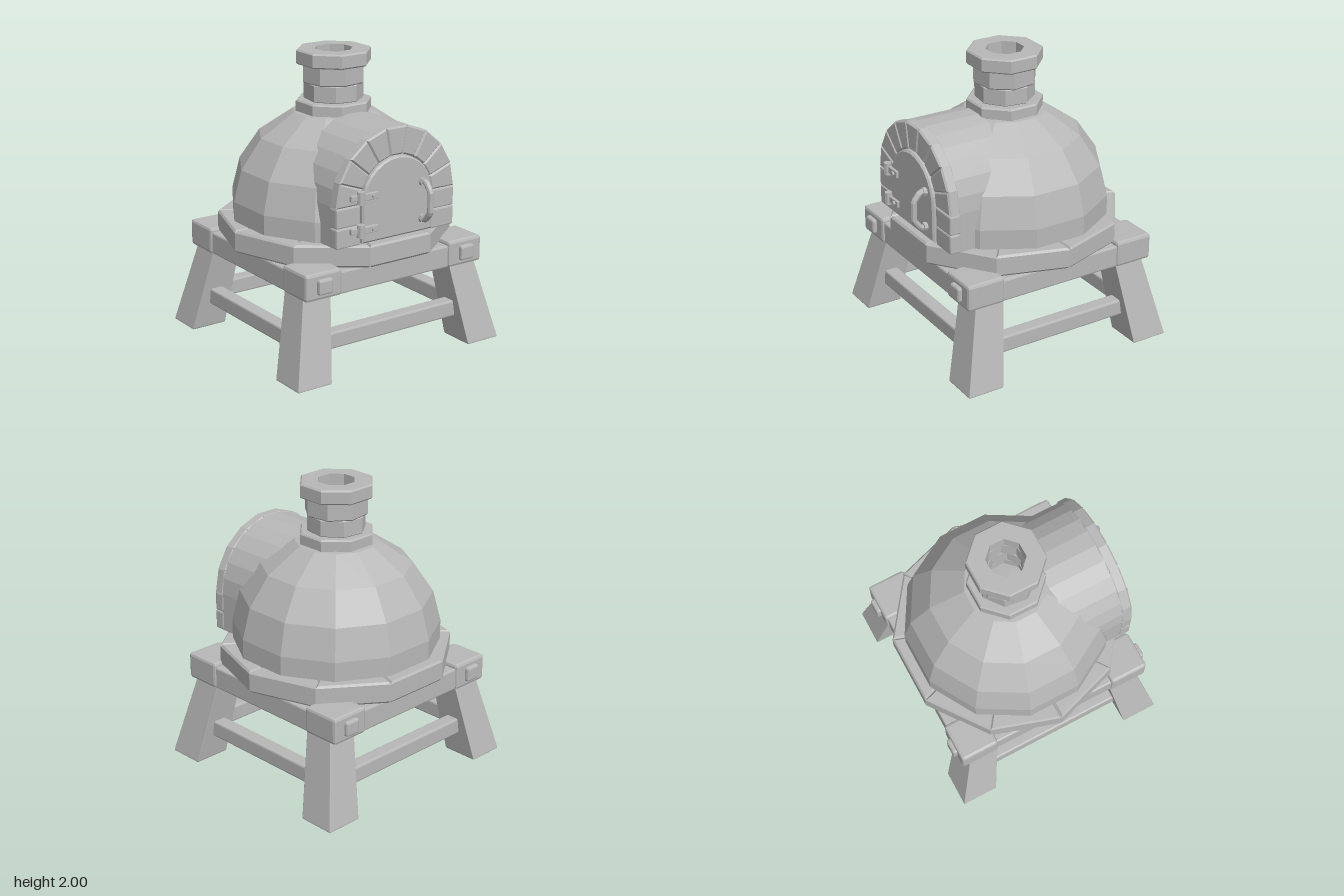
import * as THREE from 'three';
import { RoundedBoxGeometry } from 'three/addons/geometries/RoundedBoxGeometry.js';

const grey = new THREE.MeshStandardMaterial({ color: 0xb8b8b8 });
grey.name = 'stone grey';
const CZ = -0.025; // z of the stand and dome axis

// faceted normals for every part
function flat(geo) {
  const g = geo.index ? geo.toNonIndexed() : geo;
  g.computeVertexNormals();
  return g;
}

function add(parent, name, geo, x = 0, y = 0, z = 0) {
  const mesh = new THREE.Mesh(flat(geo), grey);
  mesh.name = name;
  mesh.position.set(x, y, z);
  parent.add(mesh);
  return mesh;
}

// box with chamfered edges
const block = (w, h, d, b = 0.012) => new RoundedBoxGeometry(w, h, d, 1, b);

// outline extruded along z from 0 to depth, chamfered inside its outline
function slab(points, depth, b = 0.012) {
  const shape = new THREE.Shape(points.map(([x, y]) => new THREE.Vector2(x, y)));
  const geo = new THREE.ExtrudeGeometry(shape, {
    depth: depth - 2 * b, bevelEnabled: b > 0, bevelThickness: b,
    bevelSize: b, bevelOffset: -b, bevelSegments: 1,
  });
  return geo.translate(0, 0, b);
}

const polar = (r, a, cy = 0) => [r * Math.cos(a), cy + r * Math.sin(a)];

// arch outline: straight sides, round top
function arch(r, base, spring, n) {
  const pts = [[-r, base], [r, base]];
  for (let i = 0; i <= n; i++) pts.push(polar(r, (i / n) * Math.PI, spring));
  return pts;
}

// ring sector with straight edges
const sector = (r0, r1, a0, a1, cy = 0) =>
  [polar(r0, a0, cy), polar(r1, a0, cy), polar(r1, a1, cy), polar(r0, a1, cy)];

const lathe = (profile, sides, start) => new THREE.LatheGeometry(
  profile.map(([x, y]) => new THREE.Vector2(x, y)), sides, start);

function buildStand() {
  const g = new THREE.Group();
  g.name = 'stand';
  g.position.z = CZ;
  for (const sx of [-1, 1]) for (const sz of [-1, 1]) {
    // leg: tapers upward and leans in
    const leg = block(1, 0.58, 1, 0.012);
    const p = leg.attributes.position;
    for (let i = 0; i < p.count; i++) {
      const y = p.getY(i) + 0.29, t = y / 0.58;
      const w = 0.26 - 0.048 * t;
      p.setXYZ(i, sx * (0.7 - 0.108 * t) + p.getX(i) * w, y,
        sz * (0.66 - 0.11 * t) + p.getZ(i) * w);
    }
    add(g, 'leg', leg);
    add(g, 'legHead', block(0.28, 0.185, 0.275, 0.02), sx * 0.578, 0.653, sz * 0.583);
    add(g, 'peg', block(0.11, 0.105, 0.08, 0.015), sx * 0.58, 0.653, sz * 0.71);
  }
  for (const s of [-1, 1]) {
    add(g, 'frontBackBeam', block(1.0, 0.155, 0.16), 0, 0.638, s * 0.625);
    add(g, 'sideBeam', block(0.16, 0.155, 1.0), s * 0.625, 0.638, 0);
    add(g, 'frontBackRail', block(1.14, 0.115, 0.1), 0, 0.233, s * 0.615);
    add(g, 'sideRail', block(0.1, 0.115, 1.06), s * 0.655, 0.233, 0);
  }
  return g;
}

function buildBody() {
  const g = new THREE.Group();
  g.name = 'ovenBody';
  g.position.z = CZ;
  // ten-sided hearth made of separate stones
  const step = Math.PI / 5;
  for (let i = 0; i < 10; i++) {
    const stone = slab(sector(0.5, 0.797, i * step, (i + 1) * step), 0.15, 0.014);
    add(g, 'hearthStone', stone.rotateX(-Math.PI / 2), 0, 0.715);
  }
  add(g, 'hearthCore', new THREE.CylinderGeometry(0.74, 0.74, 0.12, 10, 1, false, Math.PI / 2), 0, 0.79);

  // twelve-sided dome
  add(g, 'dome', lathe([[0, 0.84], [0.71, 0.84], [0.71, 1.0], [0.655, 1.215], [0.515, 1.42],
    [0.28, 1.58], [0, 1.605]], 12, Math.PI / 12));

  // chimney of stacked octagonal rings
  const rings = [[0.24, 1.57, 1.66, 0], [0.186, 1.655, 1.78, -0.2], [0.2, 1.775, 1.905, 0.2], [0.237, 1.9, 2.0, 0]];
  for (const [apothem, y0, y1, turn] of rings) {
    const r = apothem / Math.cos(Math.PI / 8), b = 0.01, hole = 0.13;
    add(g, 'chimneyRing', lathe([[hole, y0], [r - b, y0], [r, y0 + b], [r, y1 - b],
      [r - b, y1], [hole, y1], [hole, y0]], 8, Math.PI / 8 + turn * 0.7));
  }
  return g;
}

function buildMouth() {
  const g = new THREE.Group();
  g.name = 'ovenMouth';
  const spring = 1.135, base = 0.865;
  add(g, 'tunnel', slab(arch(0.47, base, spring, 13), 0.42, 0), 0, 0, 0.2);

  // arch bricks and the straight bricks below them
  const step = Math.PI / 9;
  for (let i = 0; i < 9; i++) {
    add(g, 'archBrick', slab(sector(0.288, 0.477, i * step, (i + 1) * step, spring), 0.08, 0.011), 0, 0, 0.603);
  }
  for (const s of [-1, 1]) for (let i = 0; i < 2; i++) {
    add(g, 'sideBrick', block(0.187, 0.135, 0.08, 0.011), s * 0.382, base + 0.0675 + i * 0.135, 0.643);
  }

  // door
  add(g, 'door', slab(arch(0.282, 0.875, spring, 14), 0.09, 0.012), 0, 0, 0.61);

  // hinges
  for (const y of [0.97, 1.19]) {
    add(g, 'hingeStrap', block(0.13, 0.048, 0.025, 0.005), -0.235, y, 0.705);
    add(g, 'hingeWing', block(0.07, 0.04, 0.03, 0.005), -0.34, y, 0.69);
    add(g, 'hingeBarrel', new THREE.CylinderGeometry(0.027, 0.027, 0.085, 8), -0.305, y, 0.71);
    add(g, 'hingeBolt', new THREE.CylinderGeometry(0.015, 0.015, 0.02, 8).rotateX(Math.PI / 2), -0.21, y, 0.722);
  }

  // handle
  const path = new THREE.CurvePath();
  const pts = [[0.955, 0.69], [0.965, 0.745], [1.02, 0.79], [1.16, 0.79], [1.215, 0.745], [1.225, 0.69]]
    .map(([y, z]) => new THREE.Vector3(0.195, y, z));
  for (let i = 1; i < pts.length; i++) path.add(new THREE.LineCurve3(pts[i - 1], pts[i]));
  add(g, 'handle', new THREE.TubeGeometry(path, 24, 0.021, 8));
  for (const y of [0.965, 1.215]) {
    add(g, 'handleMount', new THREE.CylinderGeometry(0.03, 0.03, 0.03, 8).rotateX(Math.PI / 2), 0.195, y, 0.71);
  }
  return g;
}

export function createModel() {
  const model = new THREE.Group();
  model.name = 'pizzaOven';
  model.add(buildStand(), buildBody(), buildMouth());
  return model;
}
